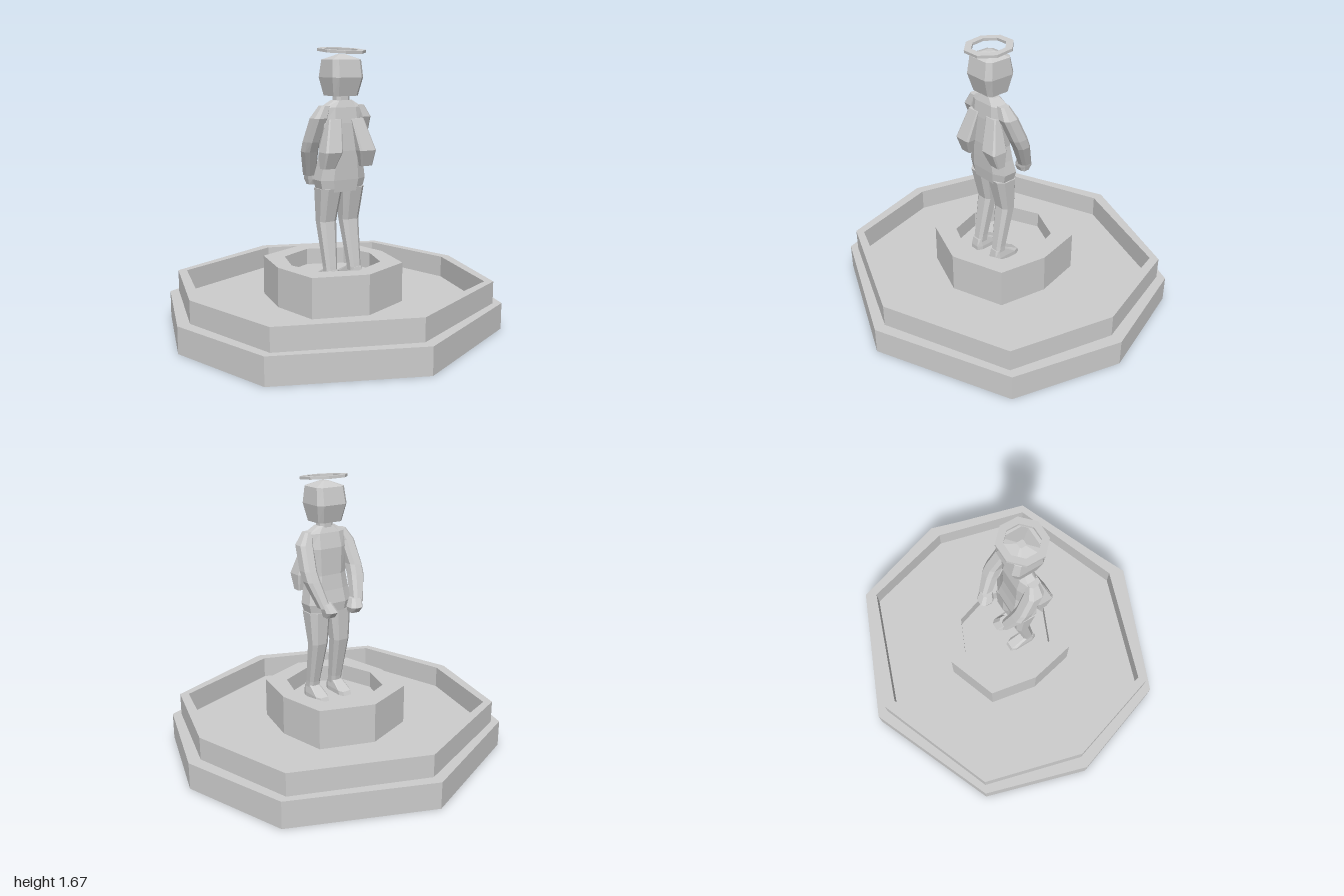
import * as THREE from 'three';

const stone = new THREE.MeshStandardMaterial({ color: 0xcccccc, flatShading: true });
stone.name = 'pale grey stone';

function add(parent, name, geometry) {
  const mesh = new THREE.Mesh(geometry, stone);
  mesh.name = name;
  parent.add(mesh);
  return mesh;
}

// Eight-sided loft; sections run upward as [centreX, y, centreZ, halfWidth, halfDepth]
function loft(sections, k = 0.55) {
  const unit = [[1, -k], [1, k], [k, 1], [-k, 1], [-1, k], [-1, -k], [-k, -1], [k, -1]];
  const rings = sections.map(([cx, y, cz, hx, hz]) =>
    unit.map(([u, v]) => [cx + u * hx, y, cz + v * hz]));
  const pos = [];
  const tri = (...points) => points.forEach((p) => pos.push(...p));
  const last = sections.length - 1;
  for (let i = 0; i < 8; i++) {
    const j = (i + 1) % 8;
    for (let r = 0; r < last; r++) {
      const lo = rings[r], hi = rings[r + 1];
      tri(lo[i], hi[i], lo[j]);
      tri(lo[j], hi[i], hi[j]);
    }
    tri(sections[0].slice(0, 3), rings[0][i], rings[0][j]);
    tri(sections[last].slice(0, 3), rings[last][j], rings[last][i]);
  }
  const g = new THREE.BufferGeometry();
  g.setAttribute('position', new THREE.Float32BufferAttribute(pos, 3));
  g.computeVertexNormals();
  return g;
}

// Octagon with vertices on both axes and at (cx, cz) in each quadrant
function octagon([rx, rz, cx, cz]) {
  return [[rx, 0], [cx, cz], [0, rz], [-cx, cz], [-rx, 0], [-cx, -cz], [0, -rz], [cx, -cz]]
    .map(([x, z]) => new THREE.Vector2(x, z));
}

// Upright octagonal slab or rim between two heights
function slab(outer, inner, y0, y1) {
  const shape = new THREE.Shape(octagon(outer));
  if (inner) shape.holes.push(new THREE.Path(octagon(inner)));
  const g = new THREE.ExtrudeGeometry(shape, { depth: y1 - y0, bevelEnabled: false });
  g.rotateX(-Math.PI / 2);
  g.translate(0, y0, 0);
  return g;
}

export function createModel() {
  const model = new THREE.Group();
  model.name = 'angelFountain';

  // Stepped basin and central pedestal
  const fountain = new THREE.Group();
  fountain.name = 'fountain';
  model.add(fountain);
  add(fountain, 'base', slab([1, 0.98, 0.797, 0.642], null, 0, 0.16));
  add(fountain, 'basinRim', slab([0.925, 0.912, 0.75, 0.615], [0.86, 0.84, 0.705, 0.585], 0.16, 0.295));
  const pedestal = [0.373, 0.405, 0.315, 0.293];
  add(fountain, 'pedestal', slab(pedestal, null, 0.16, 0.3));
  add(fountain, 'pedestalRim', slab(pedestal, [0.28, 0.3, 0.215, 0.205], 0.3, 0.4));

  // Standing figure, facing -z
  const figure = new THREE.Group();
  figure.name = 'angel';
  model.add(figure);

  add(figure, 'torso', loft([
    [0, 0.84, 0.08, 0.135, 0.07],
    [0, 0.91, 0.08, 0.153, 0.078],
    [0, 0.99, 0.09, 0.138, 0.072],
    [0, 1.08, 0.098, 0.125, 0.068],
    [0, 1.24, 0.095, 0.135, 0.065],
    [0, 1.33, 0.1, 0.125, 0.05],
    [0, 1.37, 0.102, 0.06, 0.035],
  ]));
  add(figure, 'neck', loft([[0, 1.34, 0.1, 0.047, 0.037], [0, 1.41, 0.1, 0.043, 0.037]]));
  add(figure, 'head', loft([
    [0, 1.395, 0.096, 0.083, 0.074],
    [0, 1.5, 0.097, 0.104, 0.104],
    [0, 1.6, 0.1, 0.096, 0.086],
    [0, 1.63, 0.1, 0.02, 0.02],
  ], 0.72));

  // Tilted halo
  const ring = (r) => Array.from({ length: 8 }, (_, i) => {
    const a = (i + 0.5) * Math.PI / 4;
    return new THREE.Vector2(r * Math.cos(a), r * Math.sin(a));
  });
  const haloShape = new THREE.Shape(ring(0.142));
  haloShape.holes.push(new THREE.Path(ring(0.1)));
  const haloGeometry = new THREE.ExtrudeGeometry(haloShape, { depth: 0.016, bevelEnabled: false });
  haloGeometry.translate(0, 0, -0.008);
  haloGeometry.rotateX(-Math.PI / 2);
  const halo = add(figure, 'halo', haloGeometry);
  halo.position.set(0, 1.652, 0.104);
  halo.rotation.x = 0.09;

  // Paired limbs and wings
  for (const [s, side] of [[1, 'left'], [-1, 'right']]) {
    const paired = (name, sections, k) =>
      add(figure, side + name, loft(sections.map(([x, ...rest]) => [x * s, ...rest]), k));
    paired('Leg', [
      [0.085, 0.32, 0.122, 0.036, 0.036],
      [0.083, 0.4, 0.11, 0.038, 0.036],
      [0.079, 0.66, 0.06, 0.056, 0.045],
      [0.075, 0.86, 0.08, 0.073, 0.072],
    ]);
    paired('Foot', [
      [0.085, 0.3, 0.07, 0.042, 0.095],
      [0.085, 0.325, 0.075, 0.042, 0.09],
      [0.085, 0.375, 0.118, 0.034, 0.038],
    ], 0.65);
    paired('Arm', [
      [0.12, 0.92, -0.062, 0.032, 0.036],
      [0.158, 1.07, 0.005, 0.044, 0.046],
      [0.163, 1.13, 0.034, 0.042, 0.05],
      [0.148, 1.27, 0.095, 0.044, 0.05],
      [0.115, 1.34, 0.105, 0.03, 0.03],
    ]);
    paired('Hand', [
      [0.09, 0.863, -0.075, 0.034, 0.028],
      [0.09, 0.895, -0.08, 0.042, 0.046],
      [0.108, 0.945, -0.062, 0.034, 0.03],
    ]);
    paired('Wing', [
      [0.128, 0.985, 0.158, 0.038, 0.027],
      [0.115, 1.08, 0.17, 0.056, 0.052],
      [0.075, 1.265, 0.143, 0.042, 0.02],
    ], 0.8);
  }
  return model;
}
